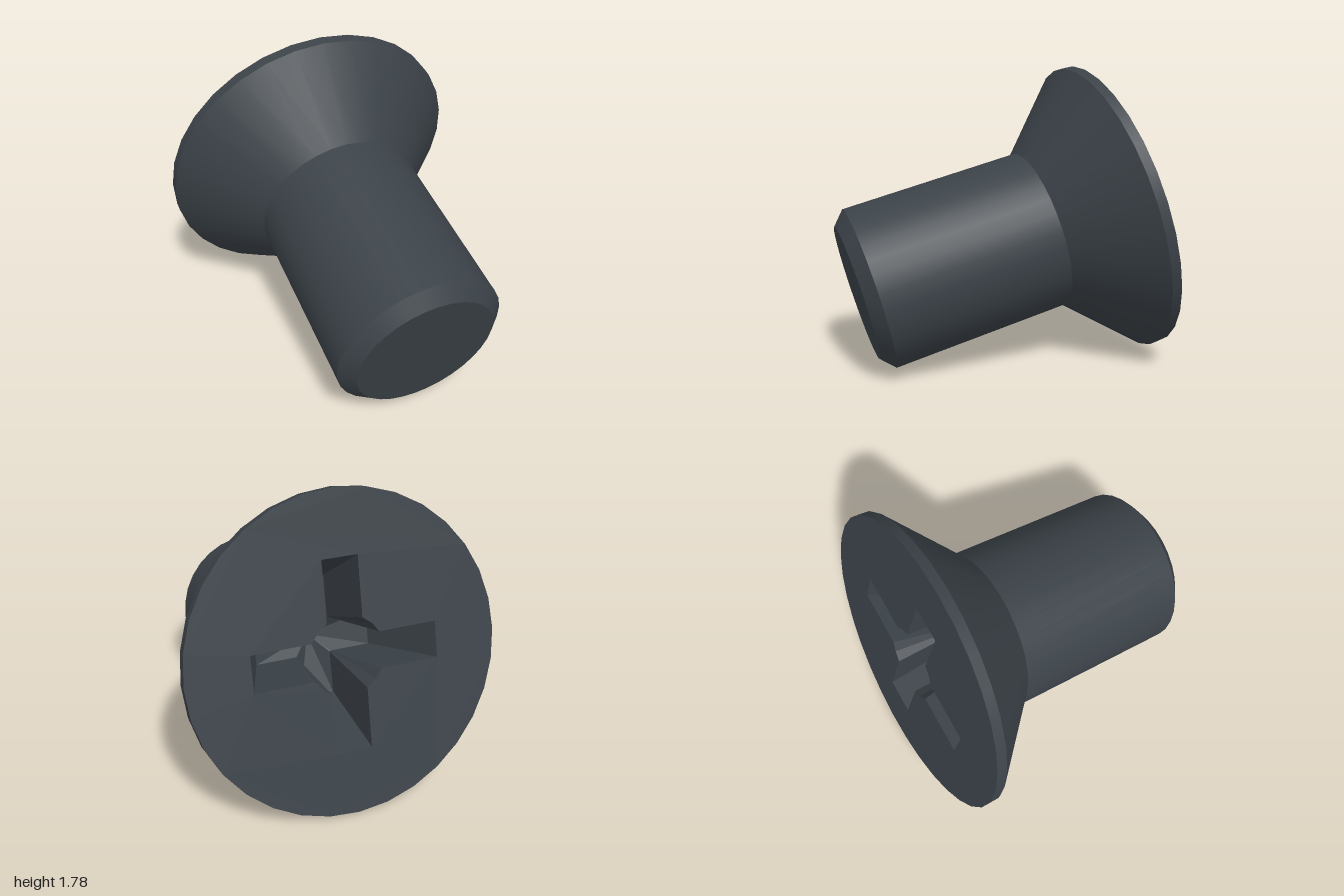
import * as THREE from 'three';

const SIDES = 32;
const HEAD_R = 0.913, SHAFT_R = 0.495, TIP_R = 0.413;
const RIM = 0.06, NECK = 0.48, BEVEL = 1.581, LENGTH = 1.656;

// Cross-shaped outline (counter-clockwise) with a round centre opening
function crossOutline(armLength, halfWidth, coreRadius) {
  const c = Math.sqrt(coreRadius ** 2 - halfWidth ** 2), m = coreRadius * Math.SQRT1_2;
  const quarter = [[armLength, -halfWidth], [armLength, halfWidth], [c, halfWidth], [m, m], [halfWidth, c]];
  const points = [];
  for (let k = 0; k < 4; k++) {
    for (const [x, y] of quarter) {
      points.push(new THREE.Vector2(x, y).rotateAround(new THREE.Vector2(), k * Math.PI / 2));
    }
  }
  return points;
}

// Tapered recess: inward-facing walls plus a shallow conical floor
function recessGeometry(top, bottom, depth, tipDepth) {
  const pos = [];
  const n = top.length;
  const put = (p, z) => pos.push(p.x, p.y, z);
  for (let i = 0; i < n; i++) {
    const j = (i + 1) % n;
    put(top[i], 0); put(bottom[j], -depth); put(bottom[i], -depth);
    put(top[i], 0); put(top[j], 0); put(bottom[j], -depth);
    put(bottom[i], -depth); put(bottom[j], -depth); pos.push(0, 0, -tipDepth);
  }
  const geometry = new THREE.BufferGeometry();
  geometry.setAttribute('position', new THREE.Float32BufferAttribute(pos, 3));
  geometry.computeVertexNormals();
  return geometry;
}

export function createModel() {
  const model = new THREE.Group();
  model.name = 'countersunkScrew';
  const steel = new THREE.MeshStandardMaterial({ color: 0x3b4248 });
  steel.name = 'dark steel';

  const add = (name, geometry) => {
    const mesh = new THREE.Mesh(geometry, steel);
    mesh.name = name;
    model.add(mesh);
  };

  // Turned sections: radius and depth below the head face at each end
  const sections = [
    ['headRim', HEAD_R, 0, HEAD_R, RIM],
    ['headCone', HEAD_R, RIM, SHAFT_R, NECK],
    ['shaft', SHAFT_R, NECK, SHAFT_R, BEVEL],
    ['tipBevel', SHAFT_R, BEVEL, TIP_R, LENGTH],
    ['tipFace', TIP_R, LENGTH, 0, LENGTH],
  ];
  for (const [name, r0, d0, r1, d1] of sections) {
    const profile = [new THREE.Vector2(r1, -d1), new THREE.Vector2(r0, -d0)];
    add(name, new THREE.LatheGeometry(profile, SIDES).rotateX(Math.PI / 2));
  }

  // Flat head face with the cross cut out
  const opening = crossOutline(0.545, 0.105, 0.225);
  const disc = [];
  for (let i = 0; i < SIDES; i++) {
    const a = i / SIDES * Math.PI * 2;
    disc.push(new THREE.Vector2(HEAD_R * Math.cos(a), HEAD_R * Math.sin(a)));
  }
  const face = new THREE.Shape(disc);
  face.holes.push(new THREE.Path(opening));
  add('headFace', new THREE.ShapeGeometry(face));

  // Driver recess
  add('driverRecess', recessGeometry(opening, crossOutline(0.36, 0.105, 0.152), 0.5, 0.58));

  // Lean the screw so it rests on the head rim and the tip
  const out = new THREE.Vector3(-0.945, 0.26, -0.199).normalize();
  const up = new THREE.Vector3(0, 1, 0).addScaledVector(out, -out.y).normalize();
  const side = new THREE.Vector3().crossVectors(up, out);
  model.quaternion.setFromRotationMatrix(new THREE.Matrix4().makeBasis(side, up, out));
  model.position.set(-0.70, 0.896, -0.003);

  const root = new THREE.Group();
  root.name = 'screw';
  root.add(model);
  return root;
}
